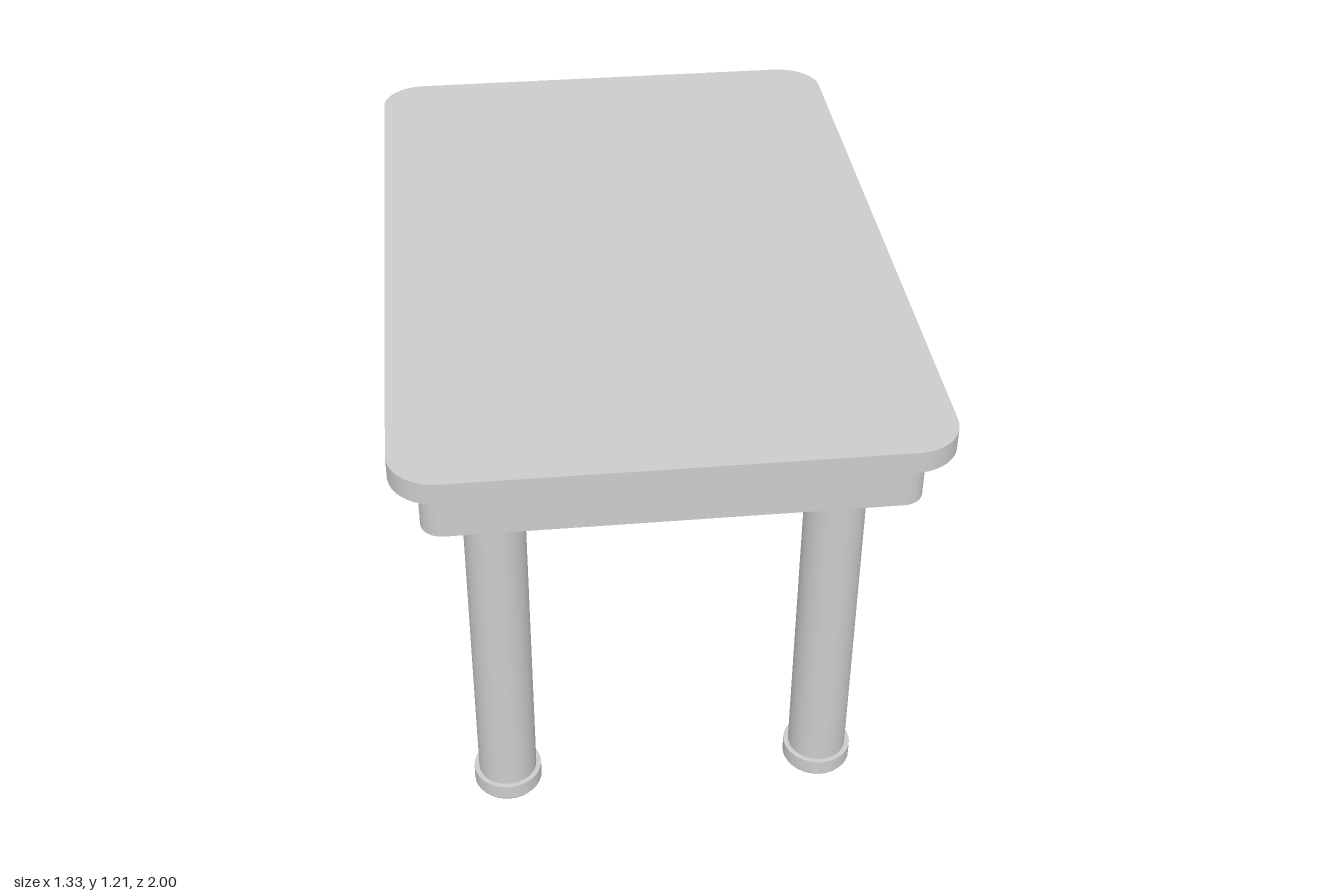
import * as THREE from 'three';
import { toCreasedNormals } from 'three/addons/utils/BufferGeometryUtils.js';

const material = new THREE.MeshStandardMaterial({ color: 0xcccccc });

// Horizontal slab with rounded corners, from y0 to y1
function roundedSlab(name, width, length, radius, y0, y1) {
  const x = width / 2, z = length / 2, r = radius;
  const shape = new THREE.Shape();
  shape.absarc(x - r, z - r, r, 0, Math.PI / 2);
  shape.absarc(-x + r, z - r, r, Math.PI / 2, Math.PI);
  shape.absarc(-x + r, -z + r, r, Math.PI, Math.PI * 1.5);
  shape.absarc(x - r, -z + r, r, Math.PI * 1.5, Math.PI * 2);
  shape.closePath();
  const geometry = new THREE.ExtrudeGeometry(shape, { depth: y1 - y0, bevelEnabled: false, curveSegments: 10 });
  geometry.rotateX(-Math.PI / 2).translate(0, y0, 0);
  const mesh = new THREE.Mesh(toCreasedNormals(geometry, Math.PI / 6), material);
  mesh.name = name;
  return mesh;
}

// Round leg standing on a wider foot with a slightly eased lower edge
function createLeg(name, x, z) {
  const leg = new THREE.Group();
  leg.name = name;
  const post = new THREE.Mesh(new THREE.CylinderGeometry(0.077, 0.077, 0.96, 32), material);
  post.name = 'post';
  post.position.y = 0.525;
  const profile = [[0, 0], [0.086, 0], [0.09, 0.006], [0.09, 0.048], [0, 0.048]];
  const footGeometry = new THREE.LatheGeometry(profile.map(([r, y]) => new THREE.Vector2(r, y)), 32);
  const foot = new THREE.Mesh(toCreasedNormals(footGeometry, Math.PI / 6), material);
  foot.name = 'foot';
  leg.add(post, foot);
  leg.position.set(x, 0, z);
  return leg;
}

export function createModel() {
  const table = new THREE.Group();
  table.name = 'table';

  table.add(roundedSlab('tabletop', 1.332, 2, 0.12, 1.153, 1.21));
  table.add(roundedSlab('apron', 1.2, 1.855, 0.055, 1, 1.153));

  // Four legs, the back pair set a little further in
  for (const [end, z] of [['front', 0.748], ['back', -0.703]]) {
    table.add(createLeg(`${end}LeftLeg`, 0.421, z));
    table.add(createLeg(`${end}RightLeg`, -0.425, z));
  }
  return table;
}
